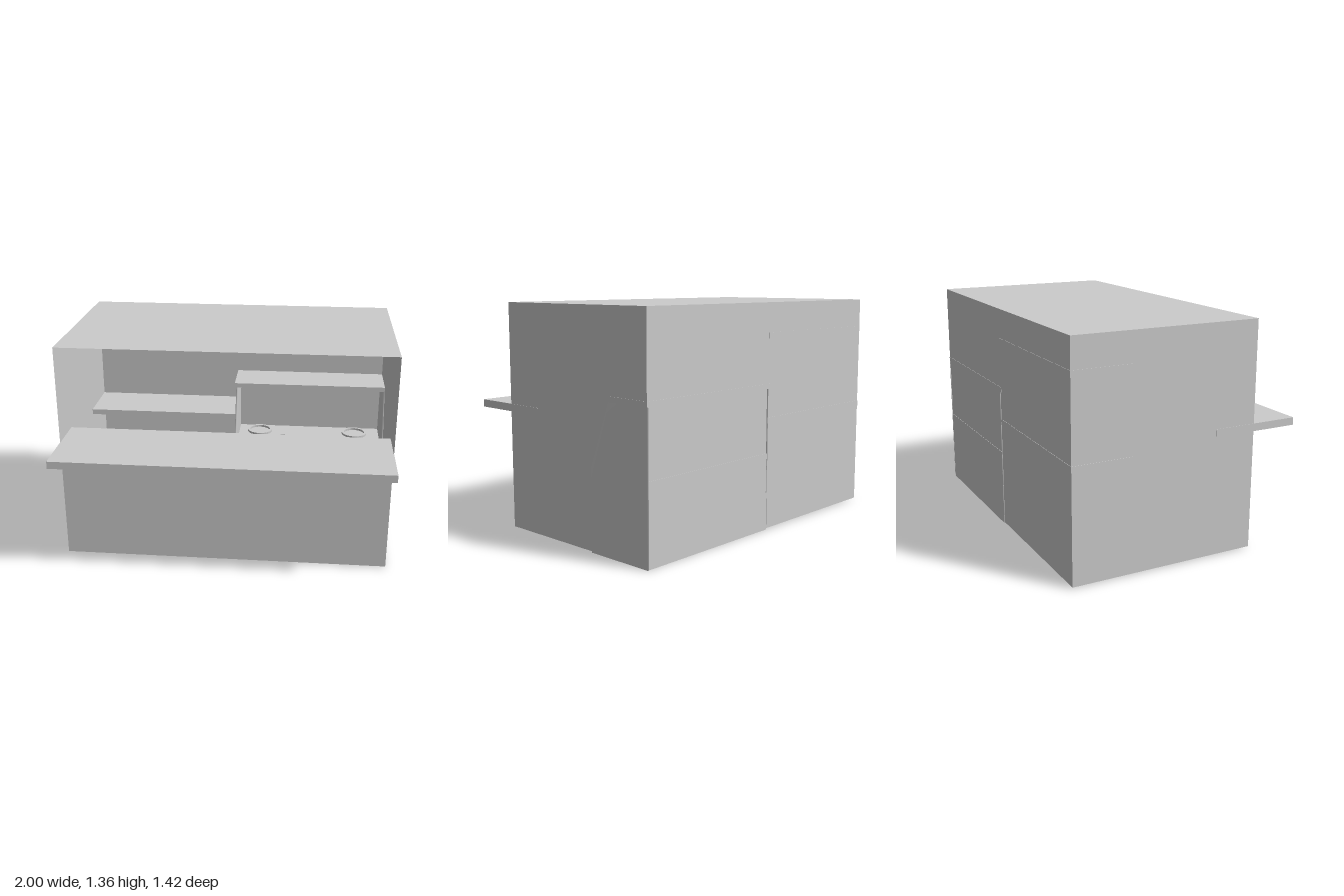
import * as THREE from 'three';
import { mergeVertices } from 'three/addons/utils/BufferGeometryUtils.js';

const grey = new THREE.MeshStandardMaterial({ color: 0xcccccc });
const sheet = new THREE.MeshStandardMaterial({ color: 0xcccccc, side: THREE.DoubleSide });

export function createModel() {
  const model = new THREE.Group();

  const add = (parent, name, geometry, material = grey) => {
    const mesh = new THREE.Mesh(geometry, material);
    mesh.name = name;
    parent.add(mesh);
    return mesh;
  };
  // box given by its limits on each axis
  const box = (parent, name, [x0, x1], [y0, y1], [z0, z1]) =>
    add(parent, name, new THREE.BoxGeometry(x1 - x0, y1 - y0, z1 - z0))
      .position.set((x0 + x1) / 2, (y0 + y1) / 2, (z0 + z1) / 2);

  // Booth shell: thin sheets, open at the front above the counter
  const X = 0.998, Y0 = 0.007, Y1 = 1.355, ZB = -0.708, ZF = 0.43, SILL = 0.73;
  const shell = new THREE.Group();
  shell.name = 'boothShell';
  model.add(shell);
  const wall = (name, w, h, position, rx, ry) => {
    const mesh = add(shell, name, new THREE.PlaneGeometry(w, h), sheet);
    mesh.position.set(...position);
    mesh.rotation.set(rx, ry, 0);
  };
  const depth = ZF - ZB, midZ = (ZF + ZB) / 2, height = Y1 - Y0, midY = (Y0 + Y1) / 2;
  wall('roof', 2 * X, depth, [0, Y1, midZ], -Math.PI / 2, 0);
  wall('floor', 2 * X, depth, [0, Y0, midZ], Math.PI / 2, 0);
  wall('backWall', 2 * X, height, [0, midY, ZB], 0, Math.PI);
  wall('frontWall', 2 * X, SILL - Y0, [0, (SILL + Y0) / 2, ZF], 0, 0);
  wall('leftWall', depth, height, [X, midY, midZ], 0, Math.PI / 2);
  wall('rightWall', depth, height, [-X, midY, midZ], 0, -Math.PI / 2);

  // Serving counter and the two back shelves
  box(model, 'servingCounter', [-1, 1], [0.712, 0.757], [0.175, 0.71]);
  box(model, 'upperShelf', [-1, -0.01], [1.145, 1.18], [-0.71, -0.353]);
  box(model, 'lowerShelf', [-1, -0.002], [0.645, 0.68], [-0.71, -0.353]);

  // Cooker: body, sloped side panels, hood shelf
  const cooker = new THREE.Group();
  cooker.name = 'cooker';
  model.add(cooker);
  box(cooker, 'cookerBody', [0, 0.99], [0, 0.467], [-0.71, -0.275]);
  box(cooker, 'hoodShelf', [-0.015, 1], [0.85, 0.88], [-0.71, -0.42]);

  // side panel profile in (-z, y), softly shaded across its edges
  const profile = new THREE.Shape([[0.275, 0], [0.71, 0], [0.71, 0.85], [0.42, 0.85], [0.275, 0.47]]
    .map(([z, y]) => new THREE.Vector2(z, y)));
  for (const [name, x] of [['innerSidePanel', -0.004], ['outerSidePanel', 0.99]]) {
    let geometry = new THREE.ExtrudeGeometry(profile, { depth: 0.01, bevelEnabled: false });
    geometry.rotateY(Math.PI / 2);
    geometry.deleteAttribute('normal');
    geometry.deleteAttribute('uv');
    geometry = mergeVertices(geometry);
    geometry.computeVertexNormals();
    add(cooker, name, geometry).position.x = x;
  }

  // Staggered burner rings on the cooktop
  const ring = new THREE.LatheGeometry(
    [[0.07, 0], [0.086, 0], [0.086, 0.014], [0.07, 0.014], [0.07, 0]]
      .map(([r, y]) => new THREE.Vector2(r, y)), 32);
  const flatRing = ring.toNonIndexed();
  flatRing.computeVertexNormals();
  [[0.152, -0.6], [0.324, -0.43], [0.64, -0.43], [0.82, -0.6]].forEach(([x, z]) =>
    add(cooker, 'burnerRing', flatRing, sheet).position.set(x, 0.467, z));

  return model;
}
